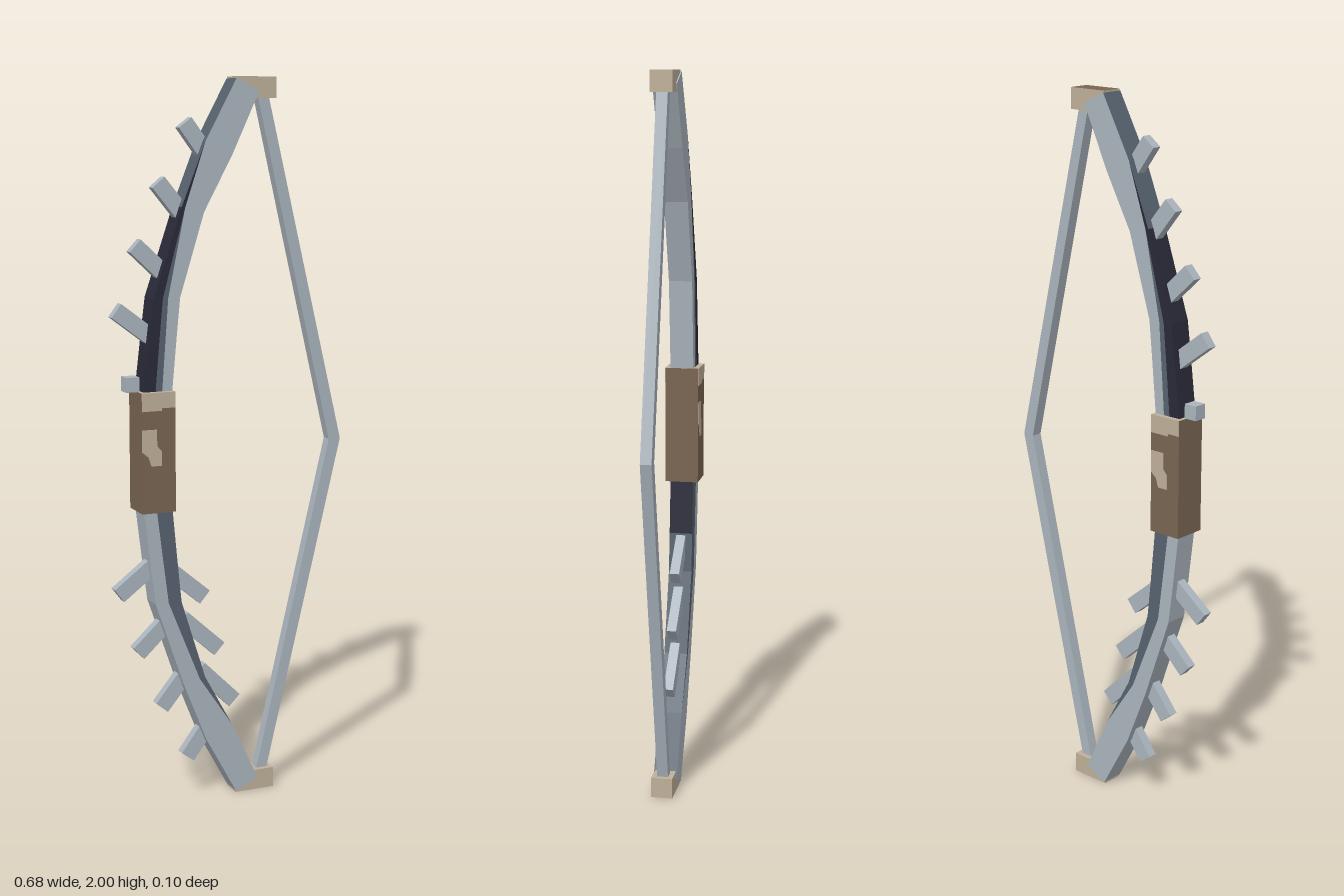
import * as THREE from 'three';

const mat = (name, color, side = THREE.FrontSide) => {
  const m = new THREE.MeshStandardMaterial({ color, side });
  m.name = name;
  return m;
};

// Limb stations from the tip to the grip: outer edge, inner edge, and the
// fractions across the limb where the painted bands of each half begin and end
const STATIONS = [
  { o: [0.012, 1.995], i: [0.08, 1.965], up: [0, 0], low: 1 },
  { o: [-0.078, 1.83], i: [0.0, 1.795], up: [0, 0], low: 1 },
  { o: [-0.146, 1.66], i: [-0.082, 1.645], up: [0.15, 0.15], low: 0.75 },
  { o: [-0.228, 1.42], i: [-0.152, 1.42], up: [0.35, 0.55], low: 0.5 },
  { o: [-0.242, 1.31], i: [-0.163, 1.31], up: [0.38, 0.6], low: 0.48 },
  { o: [-0.26, 1.16], i: [-0.177, 1.16], up: [0.42, 0.65], low: 0.45 },
];
const LIMB_Z = 0.033;

export function createModel() {
  const group = new THREE.Group();
  const steel = mat('pale steel', 0xabb5be);
  const slate = mat('slate', 0x57636f);
  const navy = mat('dark navy', 0x2a2a39);
  const brown = mat('brown leather', 0x796552);
  const tan = mat('tan', 0xbfb09a);

  const add = (name, geometry, material) => {
    const mesh = new THREE.Mesh(geometry, material);
    mesh.name = name;
    group.add(mesh);
    return mesh;
  };
  const box = (name, x0, x1, y0, y1, z, material) => {
    const mesh = add(name, new THREE.BoxGeometry(x1 - x0, y1 - y0, 2 * z), material);
    mesh.position.set((x0 + x1) / 2, (y0 + y1) / 2, 0);
    return mesh;
  };

  // Curved limbs: quads are gathered by colour, with the lower half mirrored
  const makeLimb = (name, s) => {
    const faces = new Map([[steel, []], [slate, []], [navy, []]]);
    const point = (st, f, z) => [
      THREE.MathUtils.lerp(st.o[0], st.i[0], f),
      1 + s * (THREE.MathUtils.lerp(st.o[1], st.i[1], f) - 1), z];
    const quad = (material, a, b, c, d) => {
      const order = s > 0 ? [a, b, c, a, c, d] : [a, c, b, a, d, c];
      faces.get(material).push(...order.flat());
    };
    const cuts = (st) => (s > 0 ? [0, ...st.up, 1] : [0, st.low, 1]);
    const bands = s > 0 ? [navy, slate, steel] : [steel, slate];

    for (let k = 0; k < STATIONS.length - 1; k++) {
      const A = STATIONS[k], B = STATIONS[k + 1];
      const ca = cuts(A), cb = cuts(B), Z = LIMB_Z;
      // Front and back bands
      bands.forEach((m, j) => {
        if (ca[j] === ca[j + 1] && cb[j] === cb[j + 1]) return;
        quad(m, point(A, ca[j], Z), point(B, cb[j], Z), point(B, cb[j + 1], Z), point(A, ca[j + 1], Z));
        quad(m, point(A, ca[j + 1], -Z), point(B, cb[j + 1], -Z), point(B, cb[j], -Z), point(A, ca[j], -Z));
      });
      // Outer and inner edges
      const outer = s < 0 ? steel : k < 2 ? slate : navy;
      const inner = s > 0 ? steel : k < 4 ? slate : navy;
      quad(outer, point(A, 0, -Z), point(B, 0, -Z), point(B, 0, Z), point(A, 0, Z));
      quad(inner, point(A, 1, Z), point(B, 1, Z), point(B, 1, -Z), point(A, 1, -Z));
    }
    // Tip end
    const T = STATIONS[0], Z = LIMB_Z;
    quad(steel, point(T, 0, Z), point(T, 1, Z), point(T, 1, -Z), point(T, 0, -Z));

    for (const [material, positions] of faces) {
      const g = new THREE.BufferGeometry();
      g.setAttribute('position', new THREE.Float32BufferAttribute(positions, 3));
      g.computeVertexNormals();
      add(`${name} ${material.name}`, g, material);
    }
  };
  makeLimb('upperLimb', 1);
  makeLimb('lowerLimb', -1);

  // Tip caps with brown outer ends
  box('upperCap', 0.012, 0.13, 1.943, 2, 0.03, [tan, tan, brown, tan, tan, tan]);
  box('lowerCap', 0.012, 0.13, 0, 0.057, 0.03, [tan, tan, tan, brown, tan, tan]);

  // Grip, with worn patches on its front and back
  box('grip', -0.27, -0.173, 0.84, 1.17, 0.047, [brown, brown, tan, brown, brown, brown]);
  const patches = [
    [[-0.048, 0.165], [-0.048, 0.115], [0.01, 0.115], [0.01, 0.122], [0.048, 0.122], [0.048, 0.165]],
    [[-0.048, 0.065], [-0.048, 0.005], [-0.03, -0.01], [-0.022, -0.035], [0.008, -0.035],
      [0.008, 0.005], [-0.005, 0.02], [-0.005, 0.065]],
  ];
  for (const turn of [0, Math.PI]) {
    for (const pts of patches) {
      const shape = new THREE.Shape(pts.map(([x, y]) => new THREE.Vector2(x, y)));
      const g = new THREE.ExtrudeGeometry(shape, { depth: 0.002, bevelEnabled: false });
      g.translate(0, 0, 0.0462).rotateY(turn).translate(-0.2215, 1.005, 0);
      add('gripPatch', g, tan);
    }
  }

  // Small sight block above the grip
  box('sightBlock', -0.303, -0.265, 1.17, 1.21, 0.019, steel);

  // Drawn string, bent at the middle
  const string = new THREE.Shape([
    [0.082, 1.95], [0.305, 1], [0.082, 0.05], [0.114, 0.05], [0.34, 1], [0.114, 1.95],
  ].map(([x, y]) => new THREE.Vector2(x, y)));
  const stringGeo = new THREE.ExtrudeGeometry(string, { depth: 0.031, bevelEnabled: false });
  add('bowString', stringGeo.translate(0, 0, -0.0155), steel);

  // Spikes: tip point, then root point inside the limb
  const spike = (name, x0, y0, x1, y1) => {
    const mesh = add(name, new THREE.BoxGeometry(Math.hypot(x1 - x0, y1 - y0), 0.045, 0.027), steel);
    mesh.position.set((x0 + x1) / 2, (y0 + y1) / 2, 0);
    mesh.rotation.z = Math.atan2(y1 - y0, x1 - x0);
  };
  const outerSpikes = [
    [-0.127, 1.88, -0.06, 1.79], [-0.204, 1.725, -0.13, 1.635],
    [-0.271, 1.56, -0.185, 1.48], [-0.326, 1.39, -0.22, 1.31],
  ];
  for (const [x0, y0, x1, y1] of outerSpikes) {
    spike('upperSpike', x0, y0, x1, y1);
    spike('lowerSpike', x0, 2 - y0, x1, 2 - y1);
  }
  const innerSpikes = [
    [-0.074, 0.58, -0.18, 0.67], [-0.03, 0.425, -0.14, 0.525], [0.016, 0.268, -0.09, 0.373],
  ];
  innerSpikes.forEach((p) => spike('innerSpike', ...p));

  return group;
}
